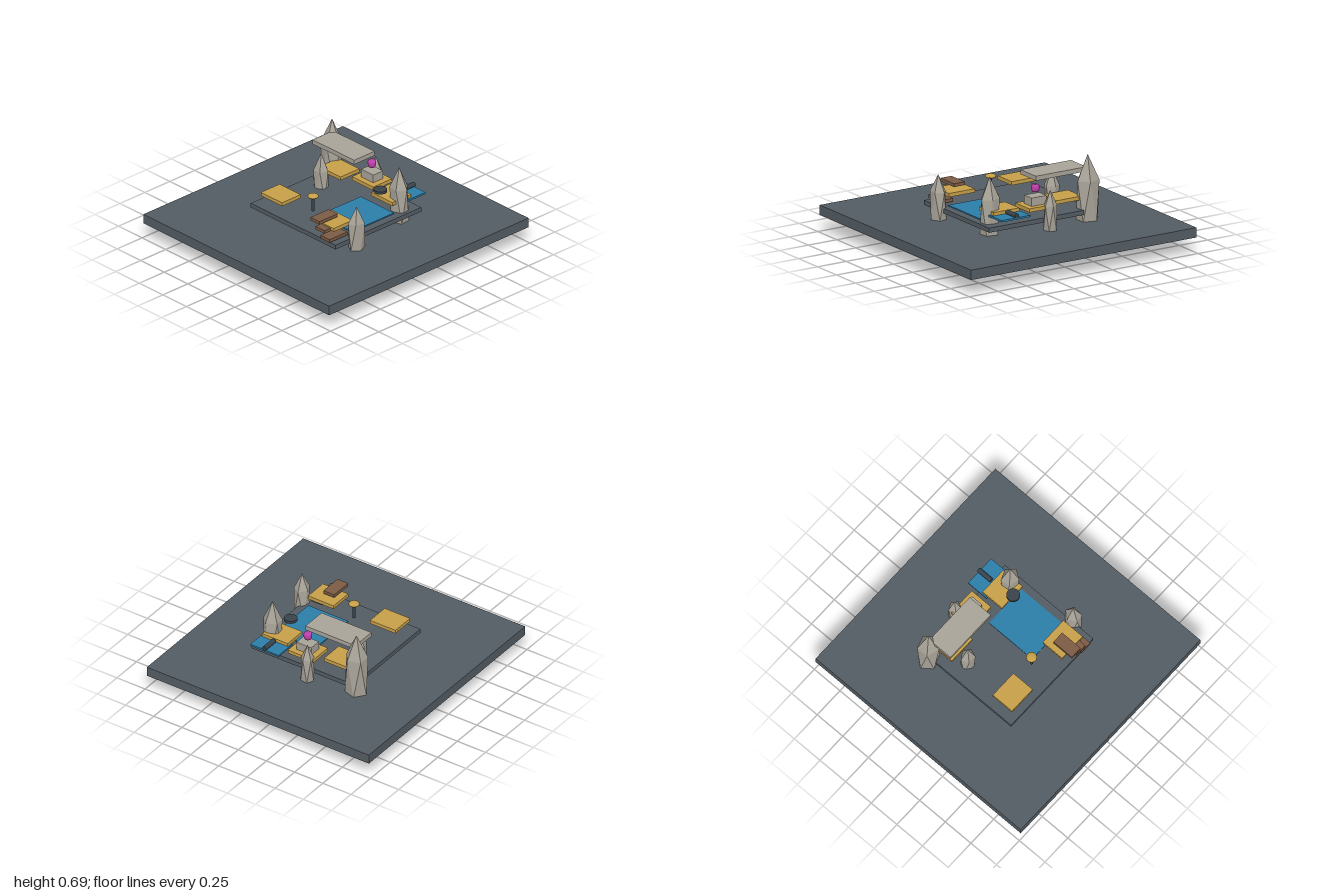
import * as THREE from 'three';

const mat = (name, color, flatShading = false) => {
  const m = new THREE.MeshStandardMaterial({ color, flatShading });
  m.name = name;
  return m;
};

export function createModel() {
  const group = new THREE.Group();
  const slate = mat('slate', 0x535c63);
  const stone = mat('stone', 0xa9a499, true);
  const gold = mat('gold', 0xc79f49);
  const water = mat('water blue', 0x2b7ea9);
  const wood = mat('brown wood', 0x7c5b45);
  const iron = mat('dark iron', 0x39434a);
  const magenta = mat('magenta', 0xc03fae);

  const add = (name, geometry, material, x = 0, y = 0, z = 0) => {
    const mesh = new THREE.Mesh(geometry, material);
    mesh.name = name;
    mesh.position.set(x, y, z);
    group.add(mesh);
    return mesh;
  };
  // Box given by its lower and upper limits
  const box = (name, material, x0, x1, y0, y1, z0, z1) =>
    add(name, new THREE.BoxGeometry(x1 - x0, y1 - y0, z1 - z0), material,
      (x0 + x1) / 2, (y0 + y1) / 2, (z0 + z1) / 2);

  // Ground and raised floor
  box('ground', slate, -0.985, 0.985, 0.125, 0.2, -1, 1);
  box('platform', slate, -0.45, 0.45, 0.255, 0.29, -0.43, 0.43);

  // Standing rocks: icosahedra stood on a corner and stretched upwards
  const rockGeometry = new THREE.IcosahedronGeometry(1, 0);
  rockGeometry.rotateZ(-Math.atan(2 / (1 + Math.sqrt(5))));
  const rocks = [
    // x, z, bottom, top, radius x, radius z, turn
    [-0.445, -0.38, 0, 0.695, 0.098, 0.092, 0],
    [-0.295, -0.13, 0.06, 0.562, 0.066, 0.062, 0.3],
    [-0.065, -0.46, 0.085, 0.505, 0.056, 0.056, 0.2],
    [0.357, -0.297, 0.035, 0.635, 0.084, 0.075, 0.1],
    [0.46, 0.228, 0.07, 0.54, 0.064, 0.076, 0.5],
  ];
  for (const [x, z, y0, y1, rx, rz, turn] of rocks) {
    const g = rockGeometry.clone().rotateY(turn).scale(rx, (y1 - y0) / 2, rz);
    add('rock', g, stone, x, (y0 + y1) / 2, z);
  }

  // Floating gold pads
  for (const [x, z] of [[-0.277, 0.292], [0.272, 0.292], [-0.277, -0.295], [0.272, -0.295], [0, -0.36]]) {
    add('pad', new THREE.BoxGeometry(0.226, 0.028, 0.188), gold, x, 0.373, z);
  }

  // Pools
  box('mainPool', water, 0.035, 0.387, 0.288, 0.298, -0.215, 0.205);
  box('backPool', water, 0.148, 0.4, 0.348, 0.362, -0.52, -0.34);

  // Wooden steps climbing towards the middle
  for (let i = 0; i < 3; i++) {
    const x = 0.2 + i * 0.053, y = 0.405 - i * 0.054;
    box('step', wood, x, x + 0.096, y, y + 0.025, 0.265, 0.445);
  }

  // Roof slab and pedestal
  box('roofSlab', stone, -0.435, 0.007, 0.565, 0.6, -0.38, -0.175);
  box('pedestal', stone, -0.065, 0.065, 0.386, 0.45, -0.41, -0.312);

  // Orb over the pedestal
  const orbProfile = [[0, -0.025], [0.024, -0.025], [0.03, -0.01], [0.031, 0.012], [0.027, 0.025], [0, 0.025]]
    .map(([r, y]) => new THREE.Vector2(r, y));
  add('orb', new THREE.LatheGeometry(orbProfile, 20), magenta, 0, 0.505, -0.36);

  // Lamp on a stem
  add('lampStem', new THREE.CylinderGeometry(0.012, 0.012, 0.11, 12), iron, 0, 0.385, 0.23);
  add('lampBowl', new THREE.SphereGeometry(0.04, 24, 12).scale(1, 0.42, 1), gold, 0, 0.45, 0.23);

  // Floating disc and spout bar
  add('disc', new THREE.CylinderGeometry(0.05, 0.05, 0.02, 28), iron, 0.27, 0.45, -0.19);
  add('spout', new THREE.CylinderGeometry(0.018, 0.018, 0.125, 16).rotateX(Math.PI / 2), iron, 0.271, 0.377, -0.465);

  return group;
}
